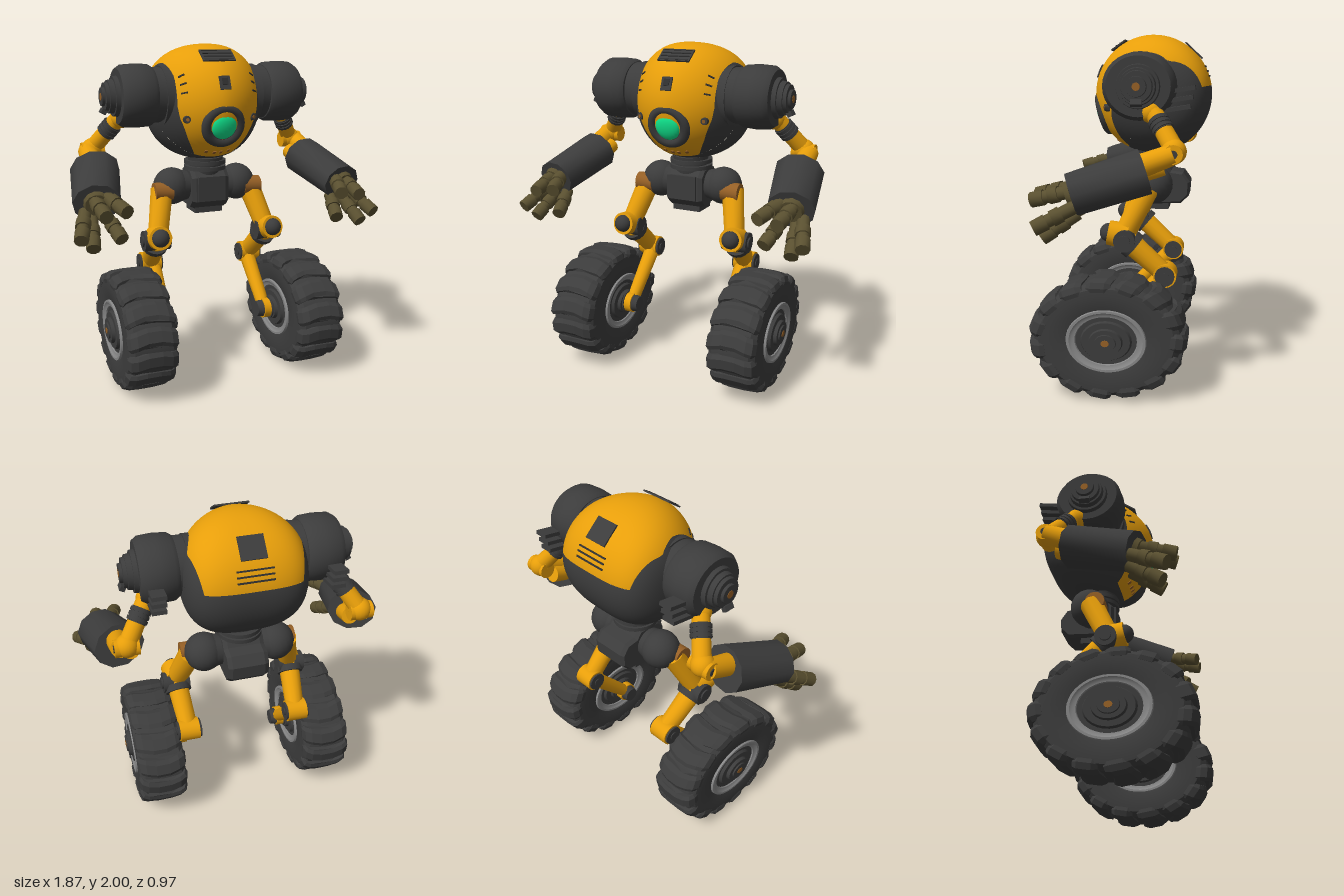
import * as THREE from 'three';
import { toCreasedNormals } from 'three/addons/utils/BufferGeometryUtils.js';
import { ParametricGeometry } from 'three/addons/geometries/ParametricGeometry.js';

const mat = (name, color) => Object.assign(new THREE.MeshStandardMaterial({ color }), { name });
const V = (x, y, z) => new THREE.Vector3(x, y, z);

export function createModel() {
  const yellow = mat('yellow paint', 0xe89f0a), dark = mat('dark metal', 0x3c3c3c);
  const black = mat('black trim', 0x303030), grey = mat('rim grey', 0x868686);
  const olive = mat('olive fingers', 0x5a5030), green = mat('green lens', 0x10e68e);
  const brown = mat('brown metal', 0x966026);
  const root = new THREE.Group();
  root.name = 'wheeledRobot';

  const add = (parent, name, geo, material, pos) => {
    const m = new THREE.Mesh(geo, material);
    m.name = name;
    if (pos) m.position.copy(pos);
    parent.add(m);
    return m;
  };
  // Round bar from p to q
  const rod = (parent, name, p, q, r1, r2, material, seg = 16) => {
    const d = q.clone().sub(p);
    const m = add(parent, name, toCreasedNormals(new THREE.CylinderGeometry(r2, r1, d.length(), seg), 0.7),
      material, p.clone().add(q).multiplyScalar(0.5));
    m.quaternion.setFromUnitVectors(V(0, 1, 0), d.normalize());
    return m;
  };
  const ball = (parent, name, p, r, material) => add(parent, name, new THREE.SphereGeometry(r, 20, 14), material, p);
  const box = (parent, name, w, h, d, material, p) => add(parent, name, new THREE.BoxGeometry(w, h, d), material, p);
  // Turned part along the x axis, points are [radius, x]
  const turned = (pts, seg = 36) => toCreasedNormals(
    new THREE.LatheGeometry(pts.map(p => new THREE.Vector2(...p)), seg).rotateZ(-Math.PI / 2), 0.6);

  // Body: hull swept about the x axis, pointed in front and boxy behind; phi = 0 in front, 90 degrees on top
  const body = new THREE.Group();
  body.name = 'body';
  root.add(body);
  const C = V(0, 1.655, -0.14), R = 0.345, rad = Math.PI / 180;
  const hull = (x, phi, out) => {
    const t = (1 - Math.cos(phi)) / 2, n = 1.75 + 0.45 * t + 1.3 * t * t;
    const r = R * Math.pow(Math.max(0, 1 - Math.pow(Math.abs(x) / R, n)), 1 / n);
    return out.set(x, C.y + r * Math.sin(phi), C.z + r * Math.cos(phi));
  };
  const edgeTable = [[-66, 0.12], [-43, 0.185], [-17, 0.238], [0, 0.25], [30, 0.25], [60, 0.255], [90, 0.272], [120, 0.31], [171, 0.265]];
  const edge = (deg) => {
    let i = 0;
    while (i < edgeTable.length - 2 && deg > edgeTable[i + 1][0]) i++;
    const [a, b] = [edgeTable[i], edgeTable[i + 1]];
    return THREE.MathUtils.lerp(a[1], b[1], (deg - a[0]) / (b[0] - a[0]));
  };
  const patch = (name, d0, d1, from, to, material, nu) => add(body, name, new ParametricGeometry((u, v, out) => {
    const deg = d0 + (d1 - d0) * v;
    const a = Math.asin(from(deg) / R), b = Math.asin(to(deg) / R);
    hull(R * Math.sin(a + (b - a) * u), deg * rad, out);
  }, nu, 40), material);
  patch('paintedShell', -66, 171, d => -edge(d), edge, yellow, 24);
  patch('leftSideShell', -66, 171, edge, () => R, dark, 8);
  patch('rightSideShell', -66, 171, () => -R, d => -edge(d), dark, 8);
  patch('lowerShell', 171, 294, () => -R, () => R, dark, 32);

  // Thin plates that lie on the hull
  const plate = (name, x, deg, w, h, material, t = 0.009, lift = 0) => {
    const p = hull(x, deg * rad, V()), e = 0.01;
    const du = hull(x + e, deg * rad, V()).sub(hull(x - e, deg * rad, V())).normalize();
    const dv = hull(x, deg * rad + e, V()).sub(hull(x, deg * rad - e, V())).normalize();
    const n = du.clone().cross(dv).normalize();
    const m = box(body, name, w, h, t, material, p.addScaledVector(n, lift));
    m.quaternion.setFromRotationMatrix(new THREE.Matrix4().makeBasis(du, n.clone().cross(du), n));
  };
  plate('frontVent', 0, 55, 0.2, 0.1, dark);
  for (let i = 0; i < 4; i++) plate('frontVentSlat', 0, 48.5 + i * 4.4, 0.18, 0.008, black, 0.009, 0.004);
  plate('frontSlot', 0, 23, 0.065, 0.08, dark);
  plate('frontSlotCore', 0, 24, 0.035, 0.04, black, 0.009, 0.004);
  plate('rearHatch', 0, 133, 0.14, 0.13, dark, 0.009, 0.002);
  for (const d of [152, 157, 162]) plate('rearSlit', 0, d, 0.2, 0.009, black);
  for (const s of [-1, 1]) {
    for (const d of [18, 30, 42]) plate('seamNotch', s * (edge(d) - 0.035), d, 0.04, 0.009, black);
    for (const x of [0.02, 0.07]) plate('chinSlot', s * x, -54, 0.018, 0.025, brown);
    const p = hull(s * 0.2, -16 * rad, V());
    rod(body, 'rivet', p.clone().add(V(0, 0, -0.02)), p.clone().add(V(s * 0.008, 0, 0.012)), 0.026, 0.02, dark, 10);
    rod(body, 'rivetCore', p.clone(), p.clone().add(V(s * 0.008, 0, 0.016)), 0.01, 0.01, brown, 8);
  }

  // Eye
  const eye = new THREE.Group();
  eye.name = 'eye';
  hull(0, -20.5 * rad, eye.position);
  eye.rotation.x = 16 * rad;
  body.add(eye);
  add(eye, 'eyeRing', new THREE.TorusGeometry(0.104, 0.03, 10, 36), dark, V(0, 0, -0.034));
  rod(eye, 'eyeSocket', V(0, 0, -0.07), V(0, 0, -0.016), 0.1, 0.1, dark, 30);
  ball(eye, 'lens', V(0, 0, -0.018), 0.077, green).scale.z = 0.4;

  // Waist and pelvis
  const pelvis = new THREE.Group();
  pelvis.name = 'pelvis';
  root.add(pelvis);
  rod(pelvis, 'waist', V(0, 1.22, -0.15), V(0, 1.33, -0.14), 0.1, 0.11, dark, 24);
  for (const y of [1.255, 1.29]) rod(pelvis, 'waistRing', V(0, y - 0.012, -0.15), V(0, y + 0.012, -0.15), 0.13, 0.13, dark, 24);
  const block = new THREE.Shape([[0.05, 1.06], [0.05, 1.2], [0.09, 1.24], [0.22, 1.24], [0.25, 1.2], [0.32, 1.19],
    [0.355, 1.14], [0.35, 1.07], [0.31, 1.03], [0.09, 1.02]].map(p => new THREE.Vector2(...p)));
  add(pelvis, 'pelvisBlock', new THREE.ExtrudeGeometry(block, { depth: 0.19, bevelSize: 0.012, bevelThickness: 0.025, bevelSegments: 1 })
    .translate(0, 0, -0.095).rotateY(Math.PI / 2), dark);
  box(pelvis, 'frontPlate', 0.17, 0.15, 0.02, dark, V(0, 1.135, -0.035));
  box(pelvis, 'bottomPlate', 0.18, 0.05, 0.16, dark, V(0, 1.003, -0.16));

  // Tyre and lug shapes
  const tyreGeo = turned([[0.14, -0.12], [0.175, -0.135], [0.25, -0.145], [0.292, -0.141], [0.318, -0.112], [0.324, 0],
    [0.318, 0.112], [0.292, 0.141], [0.25, 0.145], [0.175, 0.135], [0.14, 0.12]], 45);
  const half = [[0.1, 0.27], [0.144, 0.272], [0.149, 0.295], [0.137, 0.326], [0.1, 0.341], [0.04, 0.345]];
  const lugShape = new THREE.Shape([...half, ...half.map(([x, y]) => [-x, y]).reverse()].map(p => new THREE.Vector2(...p)));
  const lugGeo = new THREE.ExtrudeGeometry(lugShape,
    { depth: 0.06, bevelSize: 0.014, bevelOffset: -0.014, bevelThickness: 0.022, bevelSegments: 1 }).translate(0, 0, -0.03);
  const lugPos = lugGeo.attributes.position;
  for (let i = 0; i < lugPos.count; i++) lugPos.setZ(i, lugPos.getZ(i) + 0.25 * Math.abs(lugPos.getX(i)));
  lugGeo.computeVertexNormals();

  for (const s of [-1, 1]) {
    const side = s > 0 ? 'left' : 'right';
    const P = (x, y, z) => V(s * x, y, z);
    const group = (name) => {
      const g = new THREE.Group();
      g.name = side + name;
      root.add(g);
      return g;
    };

    // Shoulder drum, slightly longer than tall, with stepped cap and rear fins
    const arm = group('Arm'), sy = 1.708, sz = -0.11;
    const drum = turned([[0, 0.352], [0.165, 0.352], [0.18, 0.375], [0.185, 0.45], [0.18, 0.53], [0.16, 0.56], [0, 0.56]], 32);
    const drumMesh = add(arm, 'shoulderDrum', drum, dark, V(0, sy, sz));
    if (s < 0) drumMesh.rotation.y = Math.PI;
    drumMesh.scale.z = 1.08;
    rod(arm, 'shoulderNeck', P(0.23, sy - 0.01, sz - 0.01), P(0.3, sy - 0.01, sz - 0.01), 0.18, 0.18, dark, 32);
    rod(arm, 'shoulderGroove', P(0.29, sy, sz), P(0.36, sy, sz), 0.162, 0.162, dark, 32);
    for (const [x0, x1, r, m] of [[0.55, 0.585, 0.12, dark], [0.58, 0.615, 0.1, dark], [0.61, 0.635, 0.085, dark],
      [0.63, 0.652, 0.055, dark], [0.65, 0.654, 0.022, brown]])
      rod(arm, 'shoulderCap', P(x0, sy, sz), P(x1, sy, sz), r, r * 0.95, m, 28);
    for (const a of [0, 1, 2]) {
      const fin = box(arm, 'shoulderFin', 0.08, 0.022, 0.17, dark, P(0.49, 1.69 - a * 0.05, -0.325 + a * 0.012));
      fin.rotation.x = 0.16;
    }
    box(arm, 'shoulderHook', 0.03, 0.03, 0.06, dark, P(0.64, 1.625, sz)).rotation.z = s * 0.5;

    // Upper arm with dark rings, elbow and forearm
    const a0 = P(0.5, 1.62, -0.16), a1 = P(0.66, 1.39, -0.31);
    ball(arm, 'armSocket', P(0.52, 1.575, -0.18), 0.062, yellow);
    rod(arm, 'upperArm', a0, a1, 0.048, 0.052, yellow);
    rod(arm, 'armSleeve', a0.clone().lerp(a1, 0.36), a0.clone().lerp(a1, 0.62), 0.053, 0.053, dark);
    for (const t of [0.38, 0.46, 0.54])
      rod(arm, 'armRing', a0.clone().lerp(a1, t), a0.clone().lerp(a1, t + 0.06), 0.059, 0.059, dark);
    ball(arm, 'elbow', P(0.665, 1.38, -0.31), 0.066, yellow);
    rod(arm, 'elbowPin', P(0.6, 1.37, -0.31), P(0.735, 1.37, -0.31), 0.05, 0.05, yellow);
    rod(arm, 'elbowCap', P(0.735, 1.37, -0.31), P(0.74, 1.37, -0.31), 0.022, 0.022, dark);
    const f0 = P(0.69, 1.28, -0.16), f1 = P(0.768, 1.163, 0.21);
    rod(arm, 'forearmBar', P(0.7, 1.37, -0.31), P(0.7, 1.29, -0.1), 0.055, 0.065, yellow);
    rod(arm, 'forearmPiston', P(0.64, 1.3, -0.25), P(0.65, 1.25, -0.1), 0.05, 0.05, yellow);
    // Forearm is wider than deep
    rod(arm, 'forearm', f0, f1, 0.122, 0.112, dark, 10).scale.x = 1.2;
    rod(arm, 'palm', f1, P(0.772, 1.155, 0.235), 0.075, 0.065, olive, 12);

    // Jointed fingers
    for (const [b, t] of [[P(0.72, 1.2, 0.2), P(0.65, 1.145, 0.41)], [P(0.785, 1.185, 0.2), P(0.765, 1.13, 0.42)],
      [P(0.71, 1.08, 0.17), P(0.665, 0.98, 0.34)], [P(0.79, 1.07, 0.17), P(0.825, 0.945, 0.35)],
      [P(0.83, 1.11, 0.18), P(0.895, 1.005, 0.38)]]) {
      const at = k => b.clone().lerp(t, k);
      rod(arm, 'finger', b, t, 0.036, 0.034, olive, 10);
      rod(arm, 'fingerJoint', at(0.32), at(0.55), 0.043, 0.043, olive, 10);
      rod(arm, 'fingertip', at(0.68), t, 0.042, 0.04, olive, 10);
    }

    // Leg: hip, thigh, knee, shin and wheel strut
    const leg = group('Leg');
    rod(leg, 'hipDrum', P(0.1, 1.145, -0.16), P(0.17, 1.145, -0.16), 0.085, 0.1, dark, 24);
    ball(leg, 'hipBall', P(0.215, 1.145, -0.16), 0.114, dark);
    rod(leg, 'hipKnuckle', P(0.235, 1.125, -0.105), P(0.345, 1.125, -0.105), 0.058, 0.058, brown);
    rod(leg, 'thigh', P(0.287, 1.13, -0.135), P(0.355, 0.87, -0.01), 0.07, 0.062, yellow, 10);
    rod(leg, 'kneePin', P(0.285, 0.85, -0.02), P(0.445, 0.85, -0.02), 0.062, 0.062, dark, 20);
    rod(leg, 'kneePinCap', P(0.445, 0.85, -0.02), P(0.455, 0.85, -0.02), 0.035, 0.035, dark, 16);
    rod(leg, 'kneeHousing', P(0.36, 0.865, -0.03), P(0.365, 0.885, 0.08), 0.075, 0.07, yellow, 20);
    ball(leg, 'kneeKnob', P(0.365, 0.885, 0.075), 0.054, dark);
    rod(leg, 'shinCollar', P(0.36, 0.83, -0.04), P(0.358, 0.805, -0.07), 0.08, 0.08, dark, 16);
    rod(leg, 'shin', P(0.36, 0.84, -0.03), P(0.34, 0.655, -0.235), 0.064, 0.056, yellow, 12);
    rod(leg, 'ankle', P(0.28, 0.645, -0.245), P(0.4, 0.645, -0.245), 0.066, 0.066, yellow, 20);
    for (const x of [0.28, 0.4]) {
      rod(leg, 'ankleCap', P(x - 0.012, 0.645, -0.245), P(x + 0.012, 0.645, -0.245), 0.056, 0.056, dark, 20);
      rod(leg, 'ankleBolt', P(x - 0.018, 0.645, -0.245), P(x + 0.018, 0.645, -0.245), 0.025, 0.025, dark, 12);
    }
    rod(leg, 'strut', P(0.325, 0.64, -0.24), P(0.33, 0.345, 0.05), 0.05, 0.04, yellow, 10);
    rod(leg, 'strutEnd', P(0.31, 0.345, 0.05), P(0.36, 0.345, 0.05), 0.062, 0.062, yellow, 20);
    rod(leg, 'strutCap', P(0.272, 0.345, 0.05), P(0.312, 0.345, 0.05), 0.046, 0.055, dark, 20);
    rod(leg, 'axle', P(0.355, 0.345, 0.05), P(0.42, 0.345, 0.05), 0.07, 0.075, dark, 20);

    // Wheel, longer than tall
    const wheel = group('Wheel');
    wheel.position.copy(P(0.5275, 0.345, 0.05));
    wheel.scale.z = 1.27;
    add(wheel, 'tyre', tyreGeo, dark);
    for (let i = 0; i < 15; i++) add(wheel, 'treadLug', lugGeo, dark).rotation.x = (i * 2 * Math.PI) / 15;
    rod(wheel, 'rimDisc', V(-0.128, 0, 0), V(0.128, 0, 0), 0.15, 0.15, dark, 36);
    for (const e of [-1, 1]) {
      const rim = turned([[0.138, 0.12], [0.176, 0.132], [0.172, 0.147], [0.16, 0.147], [0.15, 0.138], [0.136, 0.136], [0.13, 0.12]], 40);
      const rimMesh = add(wheel, 'rimRing', rim, grey);
      if (e < 0) rimMesh.rotation.y = Math.PI;
      rod(wheel, 'hub', V(e * 0.12, 0, 0), V(e * 0.145, 0, 0), 0.115, 0.105, dark, 28);
      rod(wheel, 'hubStep', V(e * 0.14, 0, 0), V(e * 0.165, 0, 0), 0.075, 0.07, dark, 24);
    }
    rod(wheel, 'hubCap', V(s * 0.16, 0, 0), V(s * 0.174, 0, 0), 0.048, 0.045, dark, 20);
    rod(wheel, 'hubBolt', V(s * 0.17, 0, 0), V(s * 0.177, 0, 0), 0.018, 0.018, brown, 12);
  }
  return root;
}
